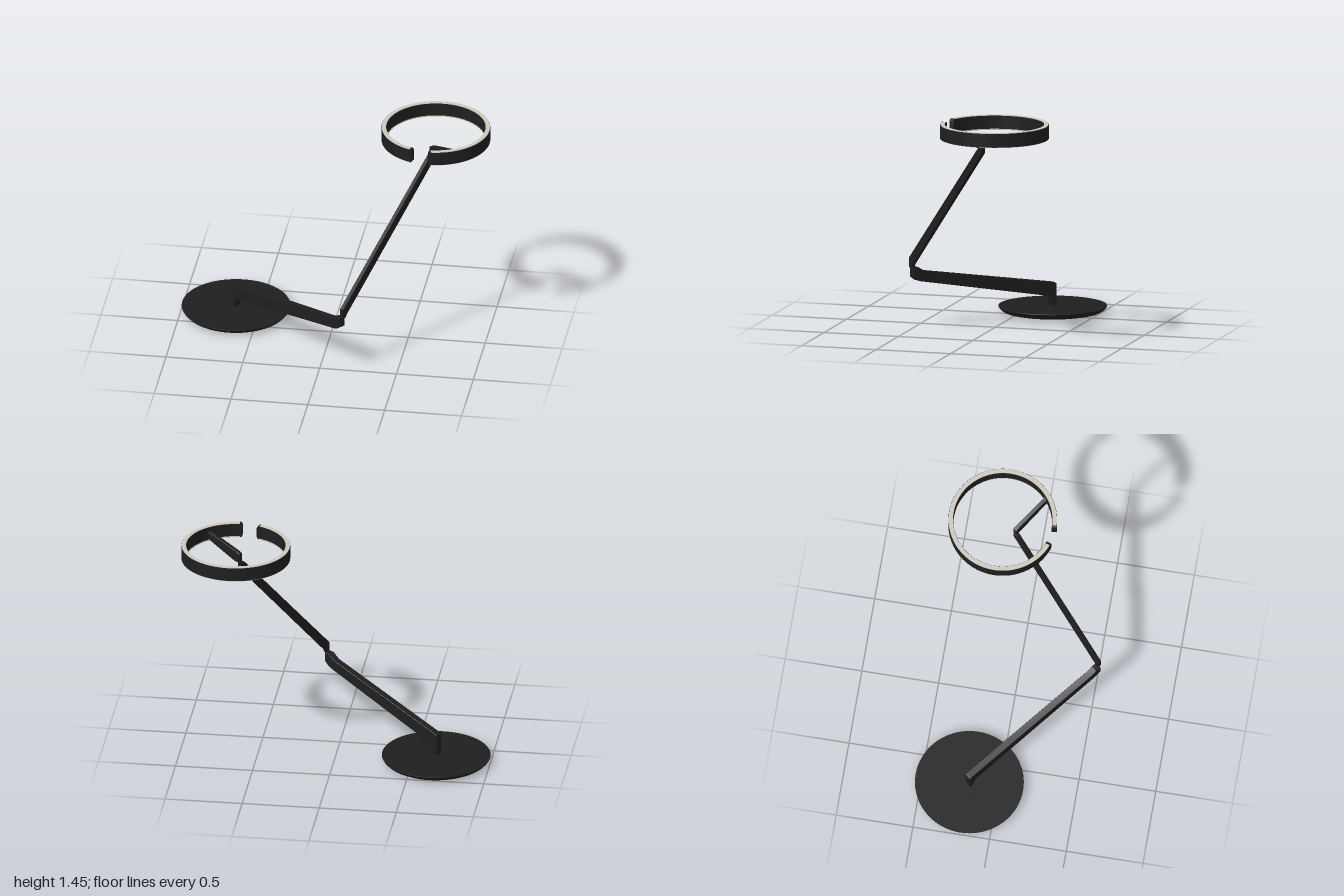
import * as THREE from 'three';
import { toCreasedNormals } from 'three/addons/utils/BufferGeometryUtils.js';

const RING = { x: 0.65, z: -0.19, outer: 0.35, inner: 0.318, bottom: 1.355, top: 1.45 };

export function createModel() {
  const black = new THREE.MeshStandardMaterial({ color: 0x1f1f1f });
  black.name = 'matteBlack';
  const light = new THREE.MeshStandardMaterial({ color: 0xcdc8bd });
  light.name = 'warmDiffuser';

  const model = new THREE.Group();
  model.name = 'deskLamp';
  const add = (name, geometry, material, x = 0, y = 0, z = 0) => {
    const mesh = new THREE.Mesh(toCreasedNormals(geometry, 0.5), material);
    mesh.name = name;
    mesh.position.set(x, y, z);
    model.add(mesh);
    return mesh;
  };
  const v2 = (list) => list.map(([x, y]) => new THREE.Vector2(x, y));

  // Round base with a rolled lower edge, and a shallow disc under the post
  add('base', new THREE.LatheGeometry(v2([
    [0, 0], [0.29, 0], [0.312, 0.005], [0.332, 0.016], [0.345, 0.03], [0.35, 0.039], [0.349, 0.042], [0, 0.042],
  ]), 72), black, -0.65, 0, -0.19);
  add('pivotDisc', new THREE.CylinderGeometry(0.085, 0.085, 0.002, 40), black, -0.65, 0.043, -0.19);

  // Blade: a (distance, height) side profile standing upright between two floor points
  const blade = (name, from, to, thickness, profile) => {
    const bevel = 0.002;
    const geometry = new THREE.ExtrudeGeometry(new THREE.Shape(v2(profile)), {
      depth: thickness - 2 * bevel, bevelSize: bevel, bevelOffset: -bevel,
      bevelThickness: bevel, bevelSegments: 1,
    });
    geometry.translate(0, 0, bevel - thickness / 2);
    geometry.rotateY(Math.atan2(-(to[1] - from[1]), to[0] - from[0]));
    add(name, geometry, black, from[0], 0, from[1]);
  };

  // Lower arm with its tapered post and raised elbow
  blade('lowerArm', [-0.668, -0.198], [0.15, 0.518], 0.045, [
    [0, 0.04], [0.03, 0.04], [0.05, 0.107], [1.03, 0.297], [1.055, 0.305], [1.087, 0.33],
    [1.087, 0.392], [1.05, 0.392], [1.0, 0.363], [0.01, 0.193], [0, 0.185],
  ]);

  // Upper arm, upright at both joints
  blade('upperArm', [0.146, 0.526], [0.639, -0.111], 0.028, [
    [0, 0.392], [0.028, 0.392], [0.034, 0.41], [0.805, 1.25], [0.805, 1.288],
    [0.77, 1.288], [0, 0.455],
  ]);

  // Bracket carrying the ring
  blade('ringBracket', [0.63, -0.108], [0.86, 0.065], 0.028, [
    [0, 1.287], [0.045, 1.29], [0.285, 1.368], [0.285, 1.42], [0.02, 1.36], [0, 1.35],
  ]);

  // Open ring: the gap faces the front
  const capLength = 0.018;
  const endA = THREE.MathUtils.degToRad(-90);
  const endB = THREE.MathUtils.degToRad(252.6);
  const trim = capLength / ((RING.outer + RING.inner) / 2);
  const arcBand = (inner, outer, y, height) => {
    const shape = new THREE.Shape();
    shape.absarc(0, 0, outer, endA + trim, endB - trim, false);
    shape.absarc(0, 0, inner, endB - trim, endA + trim, true);
    const geometry = new THREE.ExtrudeGeometry(shape, { depth: height, bevelEnabled: false, curveSegments: 72 });
    geometry.rotateX(-Math.PI / 2);
    geometry.translate(0, y, 0);
    return geometry;
  };
  const { x, z, inner, outer, bottom, top } = RING;
  add('ringBody', arcBand(inner, outer, bottom + 0.003, top - bottom - 0.006), black, x, 0, z);
  add('topDiffuser', arcBand(inner + 0.002, outer - 0.002, top - 0.003, 0.003), light, x, 0, z);
  add('bottomDiffuser', arcBand(inner - 0.001, outer - 0.002, bottom, 0.007), light, x, 0, z);

  // Rounded caps closing the two ring ends
  const h = top - bottom;
  const r = capLength;
  const cap = new THREE.Shape();
  cap.moveTo(0, 0);
  cap.absarc(0, r, r, -Math.PI / 2, 0, false);
  cap.absarc(0, h - r, r, 0, Math.PI / 2, false);
  cap.lineTo(0, 0);
  for (const [name, angle, side] of [['rightEndCap', endB - trim, 1], ['leftEndCap', endA + trim, -1]]) {
    const geometry = new THREE.ExtrudeGeometry(cap, { depth: outer - inner, bevelEnabled: false, curveSegments: 6 });
    geometry.translate(0, bottom, (inner - outer) / 2);
    // Point the rounded side along the ring, into the gap
    geometry.rotateY(angle + side * Math.PI / 2);
    const mid = (inner + outer) / 2;
    add(name, geometry, black, x + mid * Math.cos(angle), 0, z - mid * Math.sin(angle));
  }

  return model;
}
